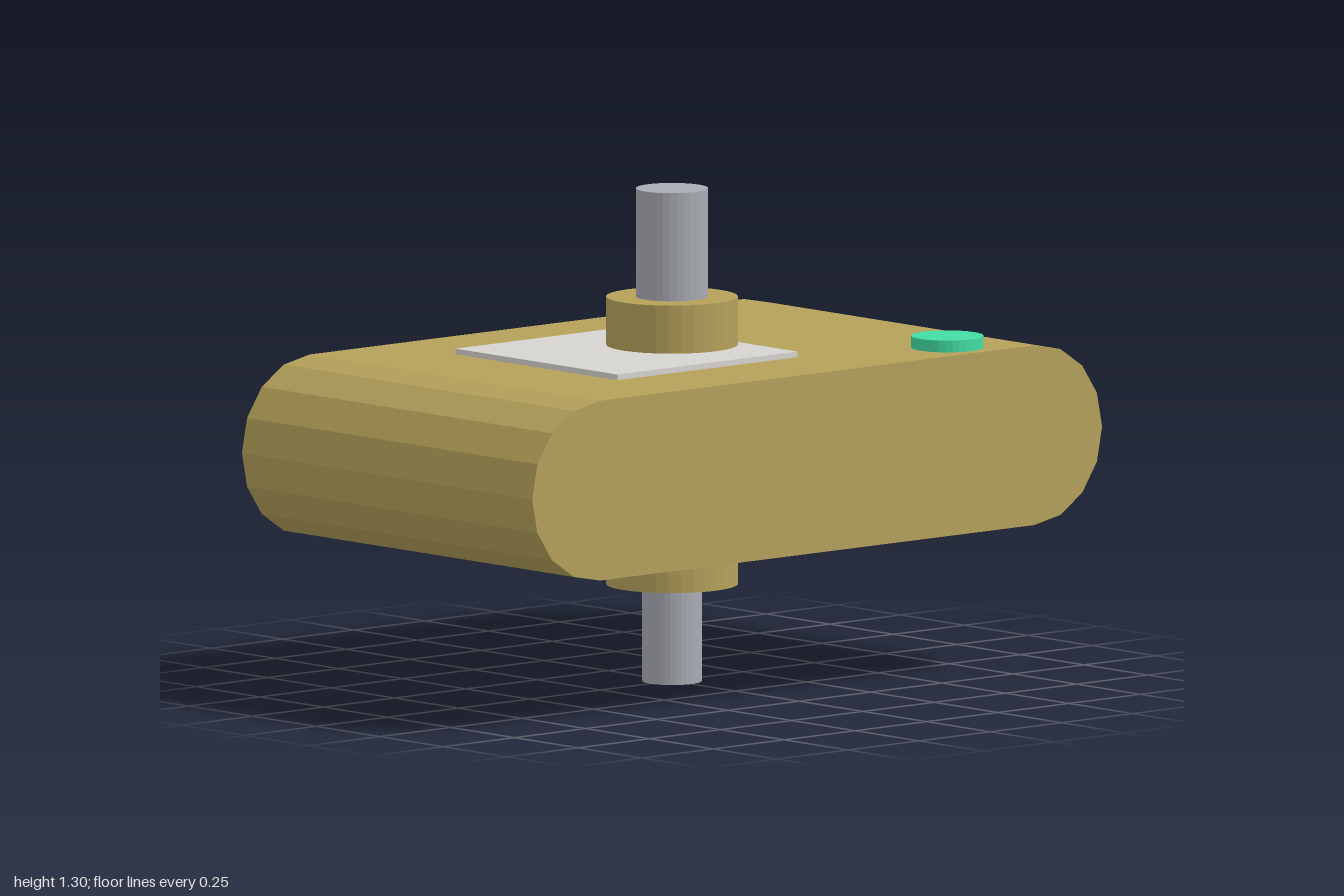
import * as THREE from 'three';

const mat = (color) => new THREE.MeshStandardMaterial({ color, flatShading: true });

export function createModel() {
  const model = new THREE.Group();
  const brass = mat(0xb5a15a), steel = mat(0xa8abb2), green = mat(0x42dca4), pale = mat(0xd6d4d0);

  const add = (name, geometry, material, x, y, z) => {
    const mesh = new THREE.Mesh(geometry, material);
    mesh.name = name;
    mesh.position.set(x, y, z);
    model.add(mesh);
  };
  // Upright cylinder between two heights
  const post = (name, r, y0, y1, material, x = 0, z = 0) =>
    add(name, new THREE.CylinderGeometry(r, r, y1 - y0, 32), material, x, (y0 + y1) / 2, z);

  // Housing: slab with faceted half-round ends
  const r = 0.2375, cx = 1 - r, depth = 1.14;
  const points = [];
  for (const side of [1, -1]) {
    for (let i = 0; i <= 8; i++) {
      const a = -Math.PI / 2 + (i * Math.PI) / 8;
      points.push(new THREE.Vector2(side * (cx + r * Math.cos(a)), side * r * Math.sin(a)));
    }
  }
  const housing = new THREE.ExtrudeGeometry(new THREE.Shape(points), { depth, bevelEnabled: false });
  housing.translate(0, 0, -depth / 2);
  add('housing', housing, brass, 0, 0.6375, 0);

  // Collars and shaft ends above and below
  post('upperCollar', 0.173, 0.875, 1.017, brass);
  post('lowerCollar', 0.173, 0.257, 0.4, brass);
  post('upperShaft', 0.095, 1.017, 1.303, steel);
  post('lowerShaft', 0.078, 0, 0.257, steel);

  // Thin plate and round button on the top face
  add('plate', new THREE.BoxGeometry(0.632, 0.015, 0.636), pale, -0.16, 0.8825, 0);
  post('button', 0.095, 0.875, 0.906, green, 0.57, 0.443);

  return model;
}
